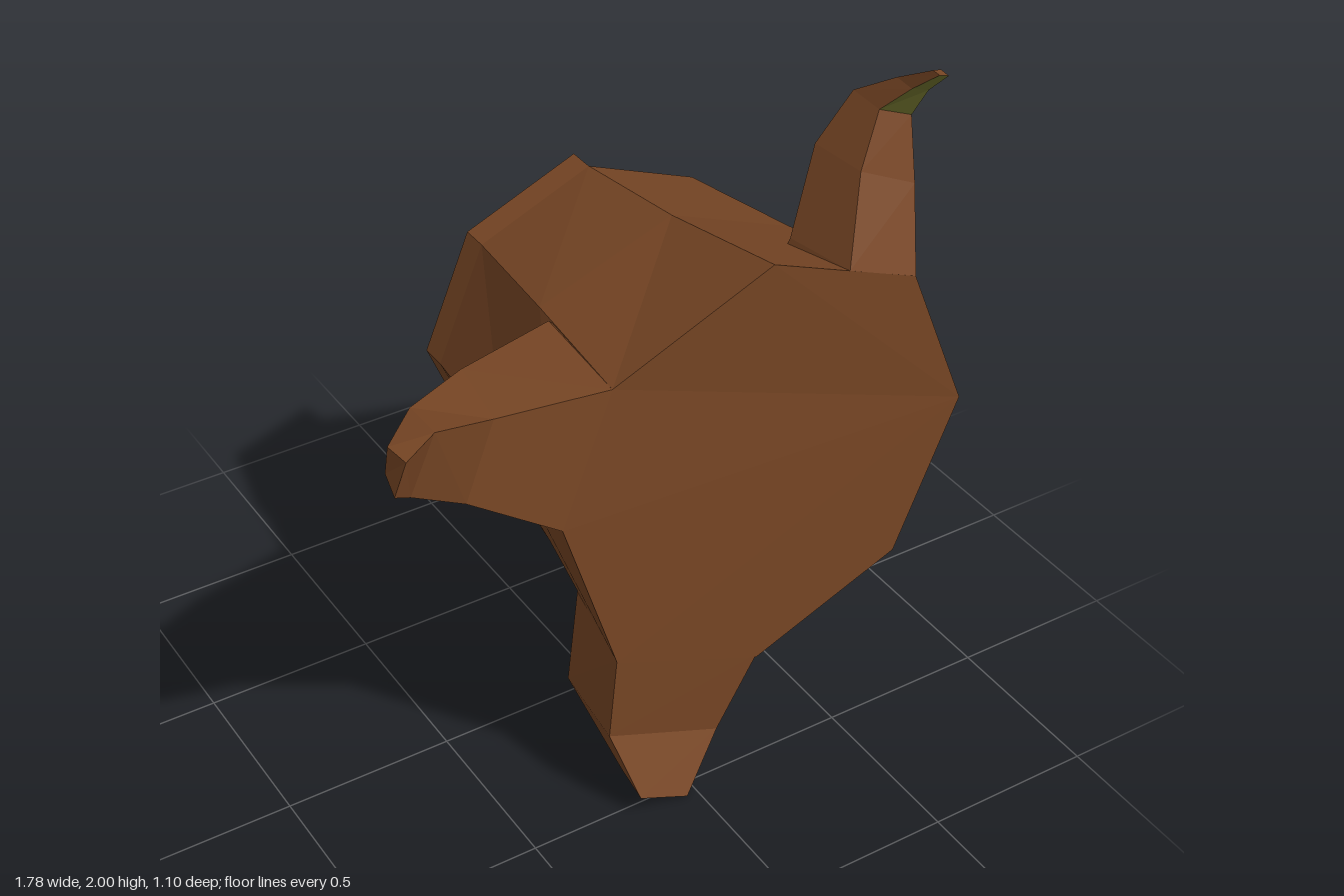
import * as THREE from 'three';

const CX = 0.24, CY = 0.98;

// Flat-faced geometry from polygons, each fanned from its first corner
function faces(polys) {
  const pos = [];
  for (const p of polys)
    for (let i = 1; i < p.length - 1; i++) pos.push(...p[0], ...p[i], ...p[i + 1]);
  const g = new THREE.BufferGeometry();
  g.setAttribute('position', new THREE.Float32BufferAttribute(pos, 3));
  g.computeVertexNormals();
  return g;
}

// Quads between successive rings, with an optional end cap; skip(i, j) leaves a face out
function loft(rings, cap = true, skip = () => false) {
  const polys = [];
  for (let i = 0; i < rings.length - 1; i++) {
    const a = rings[i], b = rings[i + 1], n = a.length;
    for (let j = 0; j < n; j++) {
      const k = (j + 1) % n;
      if (!skip(i, j)) polys.push([a[j], a[k], b[k], b[j]]);
    }
  }
  if (cap) polys.push(rings[rings.length - 1]);
  return polys;
}

// Octagon corner ring around the trunk axis
const octagon = (r, z) => Array.from({ length: 8 }, (_, i) => {
  const a = i * Math.PI / 4;
  return [CX + r * Math.cos(a), CY + r * Math.sin(a), z];
});

// Point on the octagon outline, counted clockwise in sides from +x
function outline(r, t, z) {
  const ring = octagon(r, z), i = Math.floor(t), f = t - i;
  const p = ring[(16 - i) % 8], q = ring[(15 - i) % 8];
  return [p[0] + (q[0] - p[0]) * f, p[1] + (q[1] - p[1]) * f, z];
}

// Root rings, with the first ring repeated inside the trunk so no gap shows
const sunk = (rings) => [
  rings[0].map(([x, y, z]) => [x + (CX - x) * 0.2, y + (CY - y) * 0.2, z * 0.96]),
  ...rings,
];

export function createModel() {
  const bark = new THREE.MeshStandardMaterial({ color: 0x764524 });
  const wood = new THREE.MeshStandardMaterial({ color: 0xb98e70 });
  const moss = new THREE.MeshStandardMaterial({ color: 0x72742f });
  bark.name = 'bark'; wood.name = 'wood'; moss.name = 'moss';

  const model = new THREE.Group();
  model.name = 'treeStump';
  const add = (name, polys, material) => {
    const m = new THREE.Mesh(faces(polys), material);
    m.name = name;
    model.add(m);
  };

  // Trunk: tapering octagon, closed at the root end
  const R = 0.49, RI = 0.41, Z = -0.42, FLOOR = -0.31;
  const middle = octagon(0.55, 0), front = octagon(0.65, 0.47);
  middle[3] = [-0.17, 1.38, 0];
  middle[4] = [-0.29, 0.98, 0];
  front[3] = [-0.22, 1.4, 0.44];
  front[4] = [-0.38, 1.03, 0.46];
  add('trunk', loft([octagon(R, Z), middle, front]), bark);

  // Ledge where the bark rim has broken away
  add('barkLedge', loft([octagon(RI, Z), octagon(R, Z)], false), bark);

  // Recessed cut wood: wall and floor
  add('cutWoodWall', loft([octagon(RI, FLOOR), octagon(RI, Z)], false), wood);
  add('cutWoodFloor', [octagon(RI, FLOOR).reverse()], wood);

  // Broken bark rim: side position and edge depth, with a splinter and a notch
  const rim = [[0, -0.5], [0.63, -0.545], [0.8, -0.545], [0.92, -0.421], [1, -0.5],
    [2, -0.495], [3, -0.5], [4, -0.5], [5, -0.5], [6, -0.5]];
  const outside = [], inside = [];
  const corner = ([t, z]) => ({
    o: outline(R, t, Z), oe: outline(R, t, z), i: outline(RI, t, Z), ie: outline(RI, t, z),
  });
  for (let k = 0; k < rim.length - 1; k++) {
    const a = corner(rim[k]), b = corner(rim[k + 1]);
    outside.push([a.o, b.o, b.oe, a.oe], [a.oe, b.oe, b.ie, a.ie]);
    inside.push([a.i, a.ie, b.ie, b.i]);
  }
  const s = corner(rim[0]), e = corner(rim[rim.length - 1]);
  outside.push([s.o, s.oe, s.ie, s.i], [e.o, e.i, e.ie, e.oe]);
  add('barkRim', outside, bark);
  add('rimWood', inside, wood);

  // Side root
  add('sideRoot', loft(sunk([
    [[-0.22, 1.4, 0.44], [-0.19, 1.39, 0.08], [-0.3, 1.0, 0.08], [-0.38, 1.03, 0.46]],
    [[-0.54, 1.41, 0.405], [-0.5, 1.405, 0.17], [-0.58, 1.19, 0.17], [-0.63, 1.19, 0.415]],
    [[-0.74, 1.49, 0.475], [-0.72, 1.455, 0.31], [-0.77, 1.34, 0.31], [-0.81, 1.32, 0.47]],
    [[-0.855, 1.49, 0.545], [-0.86, 1.485, 0.46], [-0.87, 1.41, 0.46], [-0.89, 1.4, 0.545]],
  ])), bark);

  // Lower root
  add('lowerRoot', loft(sunk([
    [[0.24, 0.34, 0.47], [-0.22, 0.53, 0.47], [-0.18, 0.56, 0.2], [0.24, 0.4, 0.2]],
    [[0.12, 0.11, 0.46], [-0.24, 0.26, 0.465], [-0.23, 0.29, 0.23], [0.11, 0.16, 0.23]],
    [[-0.035, 0, 0.55], [-0.19, 0.07, 0.55], [-0.19, 0.1, 0.45], [-0.045, 0.03, 0.45]],
  ])), bark);

  // Upper root, with moss on the front of its tip
  const upper = sunk([
    [[0.7, 1.44, 0.47], [0.67, 1.42, 0.22], [0.47, 1.5, 0.22], [0.48, 1.53, 0.47]],
    [[0.77, 1.64, 0.35], [0.765, 1.64, 0.145], [0.595, 1.71, 0.14], [0.6, 1.72, 0.335]],
    [[0.79, 1.81, 0.29], [0.775, 1.84, 0.165], [0.695, 1.85, 0.16], [0.69, 1.85, 0.28]],
    [[0.79, 1.91, 0.35], [0.78, 1.92, 0.28], [0.74, 1.93, 0.28], [0.735, 1.93, 0.35]],
    [[0.785, 1.99, 0.43], [0.783, 1.995, 0.4], [0.757, 2, 0.4], [0.755, 2, 0.43]],
  ]);
  const mossy = (i, j) => i >= 3 && j === 3;
  add('upperRoot', loft(upper, true, mossy), bark);
  add('upperRootMoss', loft(upper, false, (i, j) => !mossy(i, j)), moss);

  return model;
}
